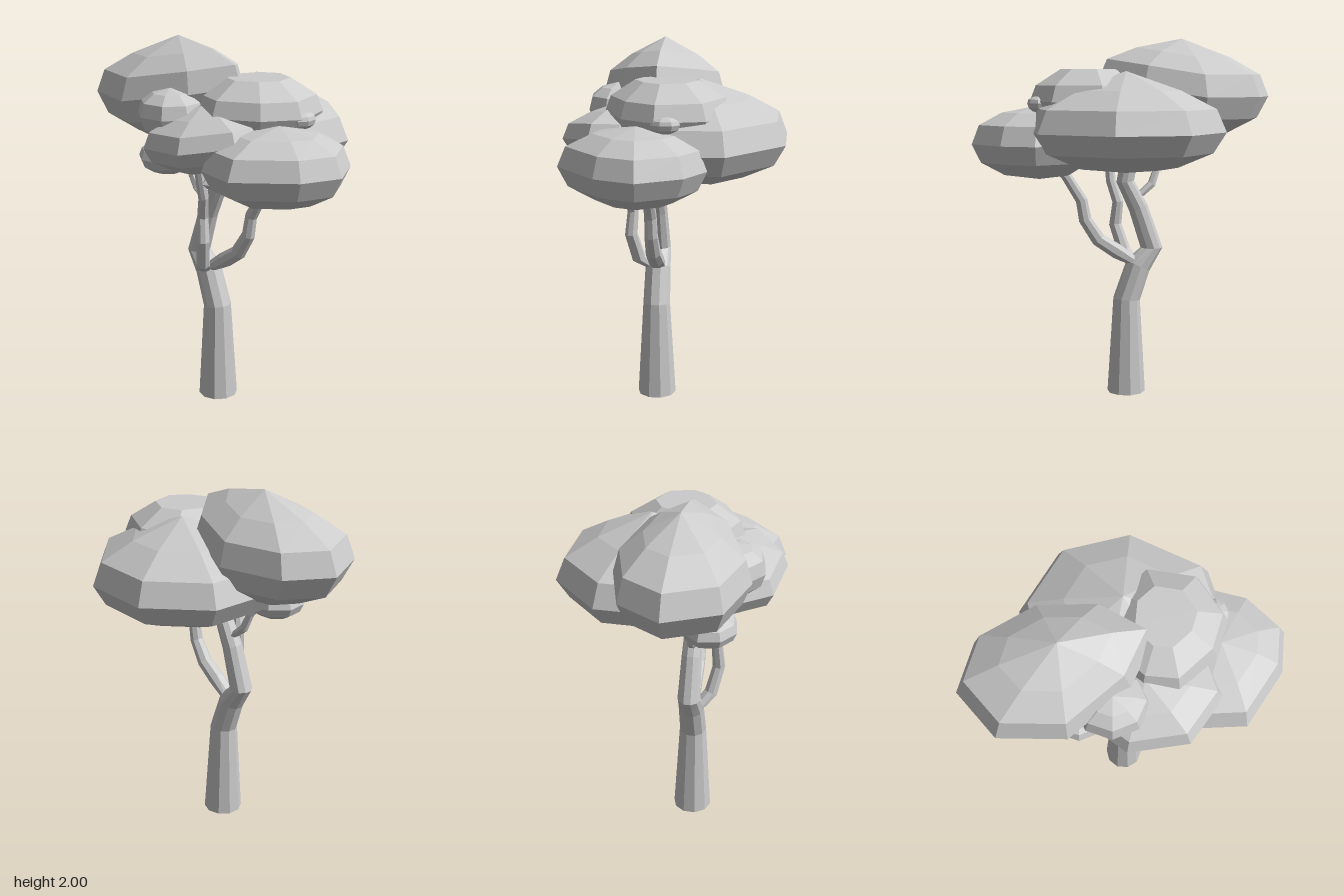
import * as THREE from 'three';

const material = new THREE.MeshStandardMaterial({ color: 0xcccccc, flatShading: true });

// Skins a stack of equal-sized rings; the caps close on the first and last centre.
function loft(name, rings, start, end) {
  const n = rings[0].length, pos = [], idx = [];
  for (const ring of rings) for (const p of ring) pos.push(p.x, p.y, p.z);
  pos.push(start.x, start.y, start.z, end.x, end.y, end.z);
  const s = rings.length * n, last = s - n;
  for (let i = 0; i < n; i++) {
    const j = (i + 1) % n;
    for (let k = 0; k < rings.length - 1; k++) {
      const a = k * n + i, b = k * n + j;
      idx.push(a, a + n, b, b, a + n, b + n);
    }
    idx.push(s, i, j, s + 1, last + j, last + i);
  }
  const g = new THREE.BufferGeometry();
  g.setAttribute('position', new THREE.Float32BufferAttribute(pos, 3));
  g.setIndex(idx);
  const flat = g.toNonIndexed();
  flat.computeVertexNormals();
  const mesh = new THREE.Mesh(flat, material);
  mesh.name = name;
  return mesh;
}

// Tapered limb through [x, y, z, radius] stations.
function limb(name, stations, sides) {
  const c = stations.map(([x, y, z]) => new THREE.Vector3(x, y, z));
  const up = new THREE.Vector3(0, 1, 0);
  const rings = c.map((p, k) => {
    const dir = k === 0 ? up.clone()
      : c[Math.min(k + 1, c.length - 1)].clone().sub(c[k - 1]).normalize();
    const q = new THREE.Quaternion().setFromUnitVectors(up, dir);
    return Array.from({ length: sides }, (_, i) => {
      const a = ((i + 0.5) / sides) * Math.PI * 2, r = stations[k][3];
      return new THREE.Vector3(Math.cos(a) * r, 0, Math.sin(a) * r).applyQuaternion(q).add(p);
    });
  });
  return loft(name, rings, c[0], c[c.length - 1]);
}

// Ring profiles of a leaf clump: [share of outline, share of height]
const UNDERSIDE = [[0.52, -0.86], [0.87, -0.5], [1, 0]];
const PEAKED = [...UNDERSIDE, [0.9, 0.38], [0.55, 0.68]];
const ROUND = [...UNDERSIDE, [0.89, 0.5], [0.55, 0.82]];
const FLAT = [...UNDERSIDE, [0.9, 0.5], [0.5, 1]];

// Leaf clump from a plan outline of [x, z], listed from the right round the back.
function clump(name, profile, outline, [cx, cz], [low, mid, high], lift = 0) {
  const at = (x, z, h) => new THREE.Vector3(x,
    mid + (h > 0 ? h * (high - mid) : h * (mid - low)) + lift * Math.max(0, x - cx), z);
  const rings = profile.map(([s, h]) =>
    outline.map(([x, z]) => at(cx + (x - cx) * s, cz + (z - cz) * s, h)));
  return loft(name, rings, at(cx, cz, -1), at(cx, cz, 1));
}

// Eight-sided oval outline for the more regular clumps
function oval(cx, cz, rx, rz, turn) {
  return Array.from({ length: 8 }, (_, i) => {
    const a = Math.PI + ((i + turn) / 8) * Math.PI * 2;
    return [cx + rx * Math.cos(a), cz + rz * Math.sin(a)];
  });
}

export function createModel() {
  const tree = new THREE.Group();
  tree.name = 'tree';

  // Wood
  tree.add(
    limb('trunk', [
      [-0.015, 0, 0.115, 0.108], [-0.018, 0.54, 0.115, 0.076], [-0.085, 0.73, 0.115, 0.072],
      [-0.163, 0.83, 0.115, 0.063], [-0.085, 1.06, 0.115, 0.055], [-0.01, 1.21, 0.115, 0.05],
      [-0.05, 1.42, 0.11, 0.048],
    ], 10),
    limb('frontBranch', [
      [-0.075, 0.74, 0.16, 0.038], [-0.025, 0.8, 0.215, 0.039], [0.018, 0.95, 0.25, 0.036],
      [0.005, 1.08, 0.24, 0.032], [0.04, 1.2, 0.265, 0.029], [0.048, 1.4, 0.31, 0.026],
    ], 8),
    limb('leftBranch', [
      [-0.09, 0.73, 0.115, 0.048], [0.04, 0.815, 0.11, 0.045], [0.145, 0.885, 0.11, 0.042],
      [0.22, 1.0, 0.11, 0.037], [0.24, 1.11, 0.11, 0.034], [0.32, 1.24, 0.11, 0.03],
      [0.4, 1.34, 0.11, 0.028],
    ], 8),
    limb('twig', [
      [-0.07, 1.11, 0.115, 0.027], [-0.165, 1.19, 0.125, 0.024],
      [-0.2, 1.28, 0.14, 0.021], [-0.25, 1.36, 0.17, 0.018],
    ], 6),
  );

  // Large leaf clumps
  tree.add(
    clump('upperRightClump', PEAKED, [[-0.845, 0.1], [-0.71, -0.13], [-0.38, -0.23],
      [-0.06, -0.13], [0.145, 0.09], [-0.03, 0.3], [-0.38, 0.46], [-0.71, 0.37]],
    [-0.33, 0.1], [1.44, 1.68, 2], 0.2),
    clump('backClump', PEAKED, [[-0.46, 0.08], [-0.46, -0.32], [-0.19, -0.59], [0.2, -0.59],
      [0.54, -0.3], [0.555, 0.05], [0.24, 0.33], [-0.18, 0.33]], [0.04, -0.13], [1.28, 1.5, 1.82]),
    clump('topClump', FLAT, [[-0.1, 0.08], [0.0, -0.2], [0.2, -0.31], [0.45, -0.2],
      [0.53, 0.05], [0.42, 0.23], [0.2, 0.35], [0.03, 0.29]], [0.2, 0.03], [1.46, 1.66, 1.83]),
    clump('lowerLeftClump', ROUND, [[0.1, 0.2], [0.2, -0.1], [0.54, -0.215], [0.71, -0.12],
      [0.84, 0.1], [0.765, 0.31], [0.51, 0.54], [0.27, 0.49]], [0.47, 0.15], [1.23, 1.43, 1.635]),
    clump('frontClump', PEAKED, [[-0.34, 0.25], [-0.35, 0], [0, -0.1], [0.3, 0.02],
      [0.41, 0.24], [0.42, 0.4], [0.2, 0.58], [-0.11, 0.54]], [0.05, 0.27], [1.34, 1.485, 1.7], 0.18),
  );

  // Small leaf clumps
  for (const [name, x, z, rx, rz, heights] of [
    ['smallFrontClump', -0.13, 0.335, 0.185, 0.17, [1.49, 1.63, 1.77]],
    ['smallLowRightClump', -0.28, 0.24, 0.165, 0.15, [1.27, 1.36, 1.45]],
    ['smallLowLeftClump', 0.25, 0.2, 0.145, 0.24, [1.285, 1.34, 1.39]],
    ['smallSideClump', 0.49, 0, 0.06, 0.08, [1.6, 1.65, 1.69]],
  ]) tree.add(clump(name, ROUND, oval(x, z, rx, rz, 0.3), [x, z], heights));

  return tree;
}
